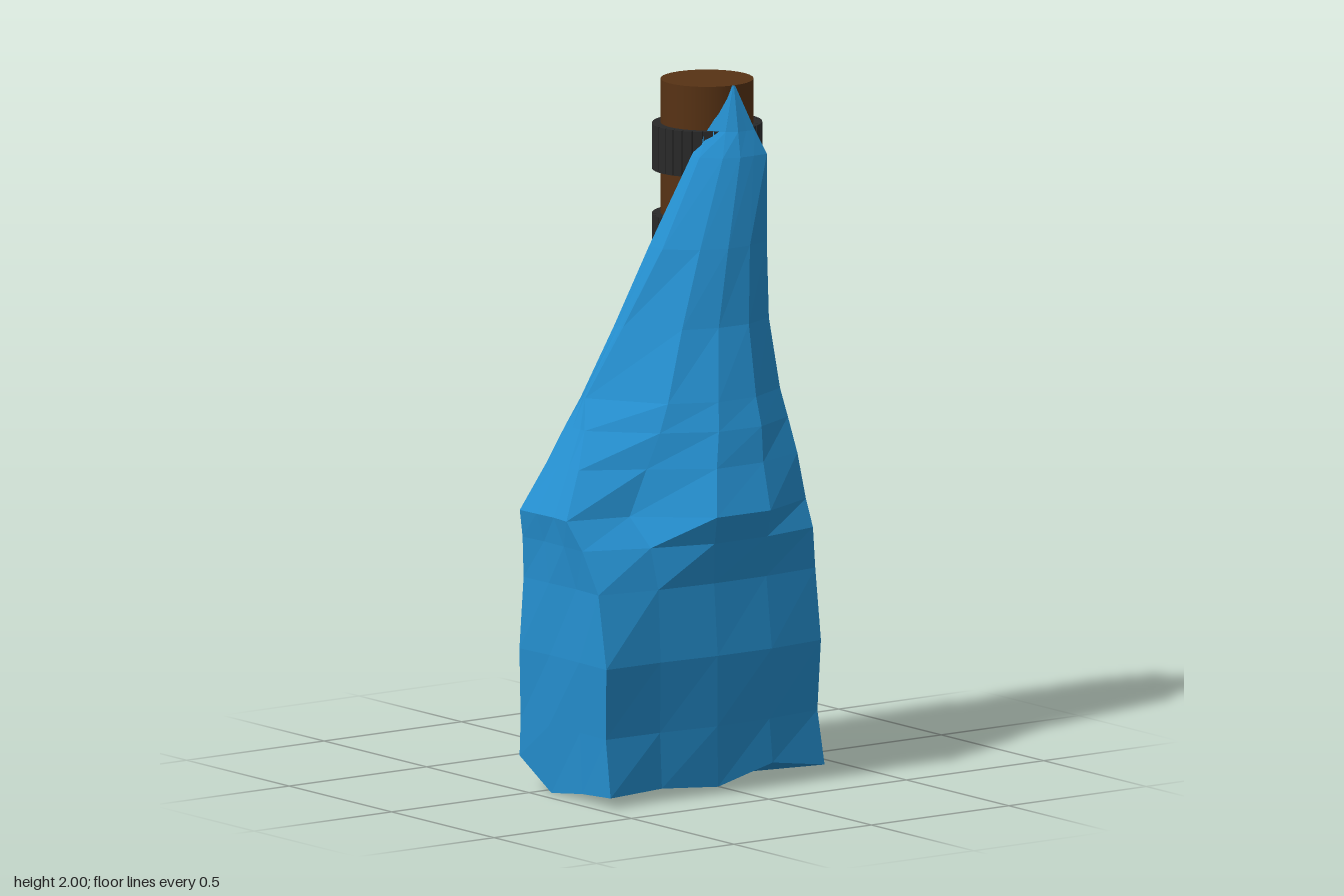
import * as THREE from 'three';

const lerp = THREE.MathUtils.lerp;
const POLE_X = 0.297, POLE_Z = -0.2, POLE_R = 0.136;

// Cloth cross-sections: height, left x, right x, back z,
// front z at the left edge, left quarter, middle and right edge, right front inset
const LEVELS = [
  [0.00, -0.458, 0.355, -0.105, 0.342, 0.335, 0.348, 0.335, 0.028],
  [0.20, -0.457, 0.348, -0.102, 0.325, 0.328, 0.342, 0.318, 0.03],
  [0.41, -0.463, 0.35, -0.1, 0.33, 0.335, 0.354, 0.325, 0.03],
  [0.62, -0.447, 0.35, -0.1, 0.275, 0.31, 0.32, 0.305, 0.03],
  [0.74, -0.452, 0.345, -0.1, 0.2, 0.275, 0.335, 0.295, 0.03],
  [0.82, -0.46, 0.335, -0.1, 0.135, 0.185, 0.348, 0.265, 0.02],
  [0.95, -0.365, 0.33, -0.1, 0.065, 0.165, 0.285, 0.22, 0.015],
  [1.05, -0.295, 0.325, -0.1, 0.0, 0.165, 0.247, 0.175, 0.01],
  [1.13, -0.24, 0.322, -0.1, -0.07, 0.145, 0.21, 0.14, 0.01],
  [1.33, -0.115, 0.325, -0.1, -0.055, 0.09, 0.125, 0.08, 0.01],
  [1.55, 0.01, 0.335, -0.1, -0.03, 0.045, 0.075, 0.05, 0.005],
  [1.80, 0.165, 0.36, -0.1, -0.06, -0.01, 0.01, 0.008, 0],
  [1.87, 0.215, 0.337, -0.1, -0.085, -0.04, -0.02, -0.02, 0],
  [2.00, 0.288, 0.296, -0.07, -0.064, -0.063, -0.062, -0.062, 0],
];

// Uneven hem: height of each lowest point, round the loop
const HEM = [0.03, 0.035, 0.02, 0.07, 0.04, 0.07, 0, 0, 0, 0, 0.03, 0.09, 0, 0.02];

// One closed loop of the cloth, counter-clockwise seen from above
function clothRing([y, xl, xr, zb, zl, zq, zm, zr, inset], level) {
  const ring = [];
  const fade = Math.min(1, (2 - y) * 0.8);
  const wob = (k) => 0.008 * fade * Math.sin(k * 2.3 + level * 1.7);
  [zl, zq, zm, zm, zr].forEach((z, i) => {
    ring.push([lerp(xl, xr - inset, i / 4), y, z - Math.abs(wob(i))]);
  });
  for (const v of [0.33, 0.67]) ring.push([xr + wob(v * 9) * 0.7, y, lerp(zr, zb, v)]);
  for (let i = 4; i >= 0; i--) ring.push([lerp(xl, xr, i / 4), y, zb + Math.abs(wob(i + 3)) * 0.6]);
  for (const v of [0.67, 0.33]) ring.push([xl + Math.abs(wob(v * 7)), y, lerp(zl, zb, v)]);
  if (level === 0) ring.forEach((p, i) => { p[1] += HEM[i]; });
  return ring;
}

function clothGeometry() {
  const rings = LEVELS.map(clothRing);
  const n = rings[0].length, pos = rings.flat(2), index = [];
  for (let r = 0; r < rings.length - 1; r++) {
    for (let i = 0; i < n; i++) {
      const a = r * n + i, b = r * n + (i + 1) % n;
      index.push(a, b, b + n, a, b + n, a + n);
    }
  }
  // underside and tip
  const low = rings.length * n, top = low + 1, last = (rings.length - 1) * n;
  pos.push(-0.05, 0.01, 0.12, 0.292, 2, -0.066);
  for (let i = 0; i < n; i++) {
    const j = (i + 1) % n;
    index.push(low, j, i, top, last + i, last + j);
  }
  const g = new THREE.BufferGeometry();
  g.setAttribute('position', new THREE.Float32BufferAttribute(pos, 3));
  g.setIndex(index);
  const flat = g.toNonIndexed();
  flat.computeVertexNormals();
  return flat;
}

export function createModel() {
  const model = new THREE.Group();
  const blue = new THREE.MeshStandardMaterial({ color: 0x248dcc, flatShading: true });
  const brown = new THREE.MeshStandardMaterial({ color: 0x573214 });
  const black = new THREE.MeshStandardMaterial({ color: 0x292929 });

  const cloth = new THREE.Mesh(clothGeometry(), blue);
  cloth.name = 'cloth';
  model.add(cloth);

  const pole = new THREE.Mesh(new THREE.CylinderGeometry(POLE_R, POLE_R, 1.88, 32), brown);
  pole.name = 'pole';
  pole.position.set(POLE_X, 1.06, POLE_Z);
  model.add(pole);

  // Bands made of small blocks set around the pole
  const COUNT = 32;
  const block = new THREE.BoxGeometry(0.0275, 0.135, 0.028);
  for (const y of [1.803, 1.535, 1.13, 0.863, 0.593]) {
    const band = new THREE.Group();
    band.name = 'band';
    band.position.set(POLE_X, y, POLE_Z);
    for (let i = 0; i < COUNT; i++) {
      const a = (i / COUNT) * Math.PI * 2;
      const m = new THREE.Mesh(block, black);
      m.name = 'bandBlock';
      m.position.set(Math.sin(a) * 0.15, 0, Math.cos(a) * 0.14);
      m.rotation.y = a;
      band.add(m);
    }
    model.add(band);
  }
  return model;
}
